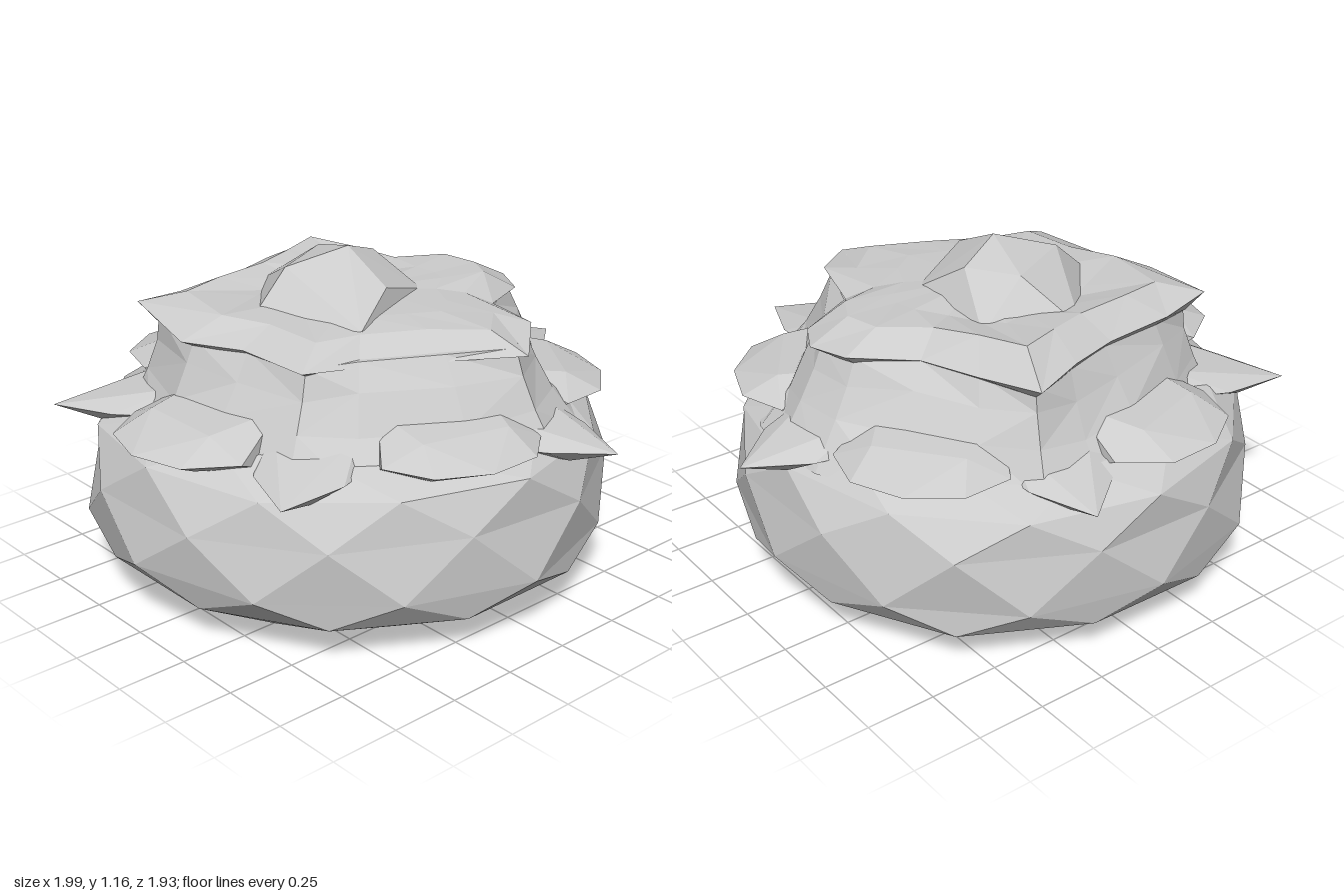
import * as THREE from 'three';
import { ConvexGeometry } from 'three/addons/geometries/ConvexGeometry.js';

const material = new THREE.MeshStandardMaterial({ color: 0xcccccc, flatShading: true });
const DEG = Math.PI / 180;

// Small seeded generator for the hand-cut unevenness
let seed = 7;
const jitter = (amount) => {
  seed = (seed * 16807) % 2147483647;
  return (seed / 2147483647 - 0.5) * 2 * amount;
};

function addMesh(parent, name, geometry) {
  const mesh = new THREE.Mesh(geometry, material);
  mesh.name = name;
  parent.add(mesh);
  return mesh;
}

// Skin between rings (bottom to top, anticlockwise from above), closed with a point at each end
function loft(rings, bottom, top) {
  const pos = [];
  const tri = (...pts) => pts.forEach((p) => pos.push(...p));
  const n = rings[0].length;
  const last = rings[rings.length - 1];
  for (let i = 0; i < n; i++) {
    const j = (i + 1) % n;
    tri(bottom, rings[0][j], rings[0][i]);
    tri(top, last[i], last[j]);
    for (let k = 0; k + 1 < rings.length; k++) {
      const a = rings[k], b = rings[k + 1];
      if (k % 2) {
        tri(a[i], a[j], b[j]);
        tri(a[i], b[j], b[i]);
      } else {
        tri(a[i], a[j], b[i]);
        tri(a[j], b[j], b[i]);
      }
    }
  }
  const geometry = new THREE.BufferGeometry();
  geometry.setAttribute('position', new THREE.Float32BufferAttribute(pos, 3));
  geometry.computeVertexNormals();
  return geometry;
}

// Uneven round ring; odd levels are turned by half a step
function roundRing(n, level, radius, y, wobble) {
  return Array.from({ length: n }, (_, i) => {
    const a = ((i + (level % 2) * 0.5) / n) * Math.PI * 2;
    const r = radius + jitter(wobble);
    return [Math.sin(a) * r - 0.035, y + jitter(wobble), Math.cos(a) * r - 0.04];
  });
}

// Five-lobed outline of the crown as [x, z], starting at the front
const crownOutline = [
  [0.13, 0.68], [0.31, 0.52], [0.38, 0.27], [0.6, 0.17], [0.67, 0.04], [0.64, -0.13],
  [0.44, -0.27], [0.36, -0.48], [0.28, -0.7], [0.08, -0.63], [-0.12, -0.57], [-0.4, -0.54],
  [-0.61, -0.5], [-0.67, -0.16], [-0.58, 0.06], [-0.56, 0.34], [-0.36, 0.39], [-0.1, 0.53],
];

// Crown outline scaled, and blended towards a circle of the given radius; slope lowers the front
function crownRing(scale, y, round = 0, radius = 0, wobble = 0, slope = 0) {
  return crownOutline.map(([x, z]) => {
    const l = Math.hypot(x, z);
    const f = scale * (1 - round) + (round * radius) / l;
    return [x * f, y + jitter(wobble) - z * slope, z * f];
  });
}

// Leaf hull from [outward, sideways, height] points; sideways ones are mirrored
function leafGeometry(points) {
  const all = [];
  for (const [u, v, y] of points) {
    all.push(new THREE.Vector3(v, y, u));
    if (v) all.push(new THREE.Vector3(-v, y, u));
  }
  return new ConvexGeometry(all);
}

export function createModel() {
  const model = new THREE.Group();

  // Squat rounded base
  const profile = [[0.76, 0.065], [0.895, 0.135], [0.935, 0.23], [0.925, 0.42], [0.885, 0.56], [0.76, 0.64]];
  const baseRings = profile.map(([r, y], k) => roundRing(12, k, r, y, k ? 0.015 : 0.006));
  addMesh(model, 'base', loft(baseRings, [-0.1, 0, 0], [0, 0.66, 0]));

  // Lobed middle tier with hollows between the lobes
  const tier = [
    crownRing(1, 0.57, 0.85, 0.84),
    crownRing(1.04, 0.71, 0.6, 0.73, 0.02),
    crownRing(1, 0.83, 0.45, 0.65, 0.02),
    crownRing(0.95, 0.92, 0.2, 0.58),
  ];
  addMesh(model, 'middleTier', loft(tier, [0, 0.56, 0], [0, 0.94, 0]));

  // Overhanging crown, a little lower at the front
  const crown = [
    crownRing(0.92, 0.89),
    crownRing(1, 0.93, 0, 0, 0.02, 0.02),
    crownRing(0.78, 0.985, 0, 0, 0.015, 0.03),
    crownRing(0.5, 0.98, 0.3, 0.32, 0.015),
  ];
  addMesh(model, 'crown', loft(crown, [0, 0.9, 0], [0, 1.0, 0]));

  // Central bud
  const bud = [
    [-0.05, 1.16, -0.02], [-0.25, 1.1, -0.12], [0.12, 1.1, -0.08], [0.01, 1.1, -0.25],
    [-0.06, 1.06, 0.19], [0.19, 0.98, 0.1], [0.21, 0.96, -0.3], [-0.27, 0.98, 0.3],
    [-0.42, 0.95, -0.1], [-0.1, 0.95, -0.44],
  ];
  addMesh(model, 'bud', new ConvexGeometry(bud.map((p) => new THREE.Vector3(...p))));

  // Broad and pointed leaves alternate around the rim
  const broad = leafGeometry([
    [0.5, 0.2, 0.75], [0.58, 0.25, 0.58], [0.72, 0.3, 0.65], [0.87, 0.19, 0.65],
    [0.92, 0, 0.65], [0.74, 0.16, 0.715], [0.8, 0.16, 0.61],
  ]);
  const pointed = leafGeometry([
    [0.62, 0.2, 0.62], [0.8, 0.15, 0.615], [0.99, 0, 0.6], [0.84, 0.05, 0.56],
    [0.82, 0, 0.64], [0.6, 0.14, 0.7],
  ]);
  const broadLeaves = [[55, 0.95], [128, 1], [198, 1.04], [270, 1.08], [346, 0.98]];
  const pointedLeaves = [[16, 1.01], [91.5, 1.01], [165, 1], [234, 1.11], [304, 1.01]];
  const place = (name, geometry, list) => list.forEach(([angle, reach]) => {
    const leaf = addMesh(model, name, geometry);
    leaf.rotation.y = angle * DEG;
    leaf.scale.z = reach;
  });
  place('broadLeaf', broad, broadLeaves);
  place('pointedLeaf', pointed, pointedLeaves);

  return model;
}
